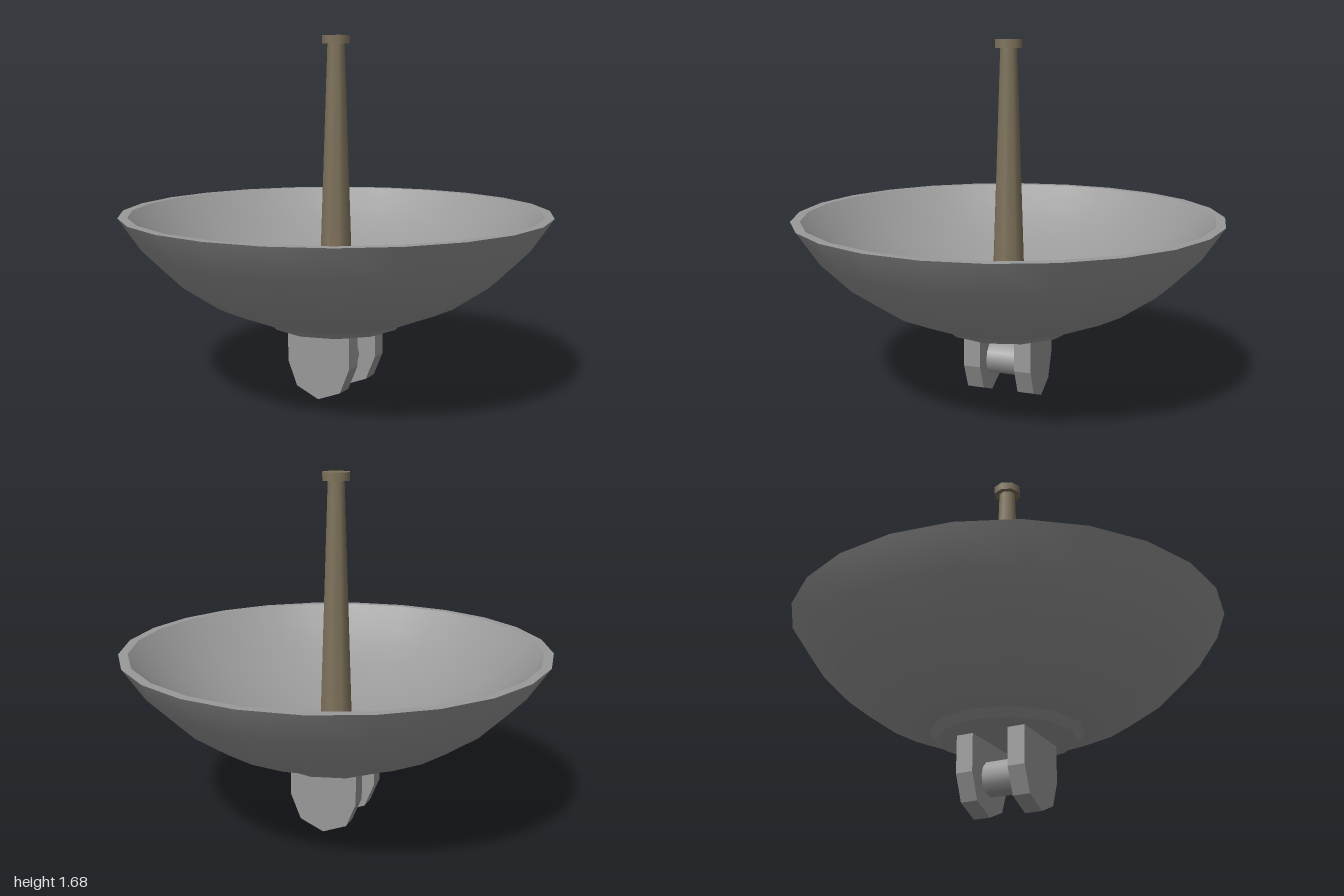
import * as THREE from 'three';

const grey = new THREE.MeshStandardMaterial({ color: 0x999999 });
grey.name = 'dish grey';
const bronze = new THREE.MeshStandardMaterial({ color: 0x7e725b });
bronze.name = 'feed bronze';

export function createModel() {
  const model = new THREE.Group();

  const add = (name, geometry, material, x = 0, y = 0, z = 0) => {
    const mesh = new THREE.Mesh(geometry, material);
    mesh.name = name;
    mesh.position.set(x, y, z);
    model.add(mesh);
    return mesh;
  };
  const lathe = (points, sides) =>
    new THREE.LatheGeometry(points.map(([r, y]) => new THREE.Vector2(r, y)), sides);

  // Dish: outer shell, flat rim and shallower reflecting bowl
  const rimY = 0.87, innerR = 0.957, floorY = 0.45;
  add('dishShell', lathe([
    [0, 0.345], [0.2, 0.35], [0.4, 0.385], [0.6, 0.47], [0.765, 0.585], [0.9, 0.72], [1, rimY],
  ], 24), grey);
  add('dishRim', lathe([[1, rimY], [innerR, rimY]], 24), grey);

  const depth = rimY - floorY;
  const radius = (innerR * innerR + depth * depth) / (2 * depth);
  const sweep = Math.asin(innerR / radius);
  const bowl = [];
  for (let i = 8; i >= 0; i--) {
    const a = sweep * i / 8;
    bowl.push([radius * Math.sin(a), floorY + radius * (1 - Math.cos(a))]);
  }
  add('dishBowl', lathe(bowl, 24), grey);

  // Feed mast with its cap
  add('feedMast', new THREE.CylinderGeometry(0.041, 0.083, 1.2, 8), bronze, 0, 1.04, 0);
  add('feedCap', new THREE.CylinderGeometry(0.067, 0.067, 0.038, 8), bronze, 0, 1.658, 0);

  // Mounting plate under the dish
  add('mountPlate', new THREE.CylinderGeometry(0.35, 0.315, 0.035, 12), grey, 0, 0.355, 0);

  // Pair of lugs, each with a half-octagon lower end
  const r = 0.165, d = r * Math.SQRT1_2;
  const outline = new THREE.Shape([
    [-r, 0.35], [-r, r], [-d, r - d], [0, 0], [d, r - d], [r, r], [r, 0.35],
  ].map(([x, y]) => new THREE.Vector2(x, y)));
  const lug = new THREE.ExtrudeGeometry(outline, { depth: 0.08, bevelEnabled: false });
  add('frontLug', lug, grey, 0, 0, 0.085);
  add('backLug', lug, grey, 0, 0, -0.165);

  // Pivot pin between the lugs
  add('pivotPin', new THREE.CylinderGeometry(0.08, 0.08, 0.2, 12), grey, 0, 0.17, 0)
    .rotation.x = Math.PI / 2;

  return model;
}
